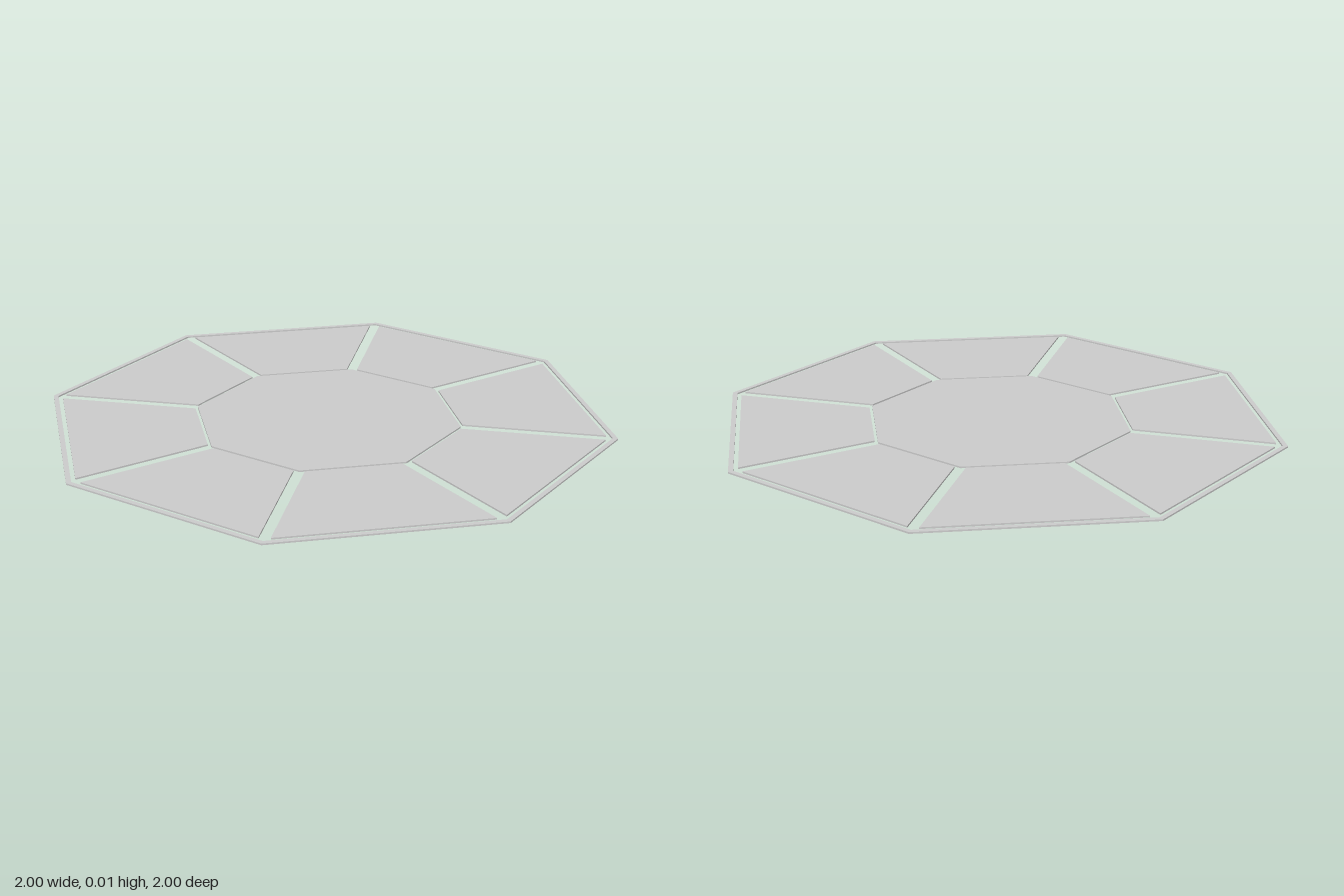
import * as THREE from 'three';

const THICKNESS = 0.006;
const TAN = Math.tan(Math.PI / 8);
const material = new THREE.MeshStandardMaterial({ color: 0xcccccc, flatShading: true });

// Corners of a regular octagon with flat sides facing the axes
function octagon(apothem) {
  const radius = apothem / Math.cos(Math.PI / 8);
  return Array.from({ length: 8 }, (_, i) => {
    const a = Math.PI / 8 + (i * Math.PI) / 4;
    return new THREE.Vector2(radius * Math.cos(a), radius * Math.sin(a));
  });
}

// Thin plate lying on the ground, cut from a flat outline
function plate(name, points, hole) {
  const shape = new THREE.Shape(points);
  if (hole) shape.holes.push(new THREE.Path(hole));
  const geometry = new THREE.ExtrudeGeometry(shape, { depth: THICKNESS, bevelEnabled: false });
  geometry.rotateX(-Math.PI / 2);
  const mesh = new THREE.Mesh(geometry, material);
  mesh.name = name;
  return mesh;
}

export function createModel() {
  const group = new THREE.Group();
  group.name = 'octagonalPanel';

  // Central tile and narrow outer rim
  group.add(plate('centerTile', octagon(0.466)));
  group.add(plate('outerRim', octagon(1), octagon(0.982)));

  // Eight trapezoid tiles, separated by straight radial gaps
  const inner = 0.477, outer = 0.966, gap = 0.022;
  const wi = inner * TAN - gap, wo = outer * TAN - gap;
  const outline = [[-wi, inner], [wi, inner], [wo, outer], [-wo, outer]]
    .map(([x, y]) => new THREE.Vector2(x, y));
  for (let i = 0; i < 8; i++) {
    const tile = plate(`outerTile${i + 1}`, outline);
    tile.rotation.y = (i * Math.PI) / 4;
    group.add(tile);
  }
  return group;
}
